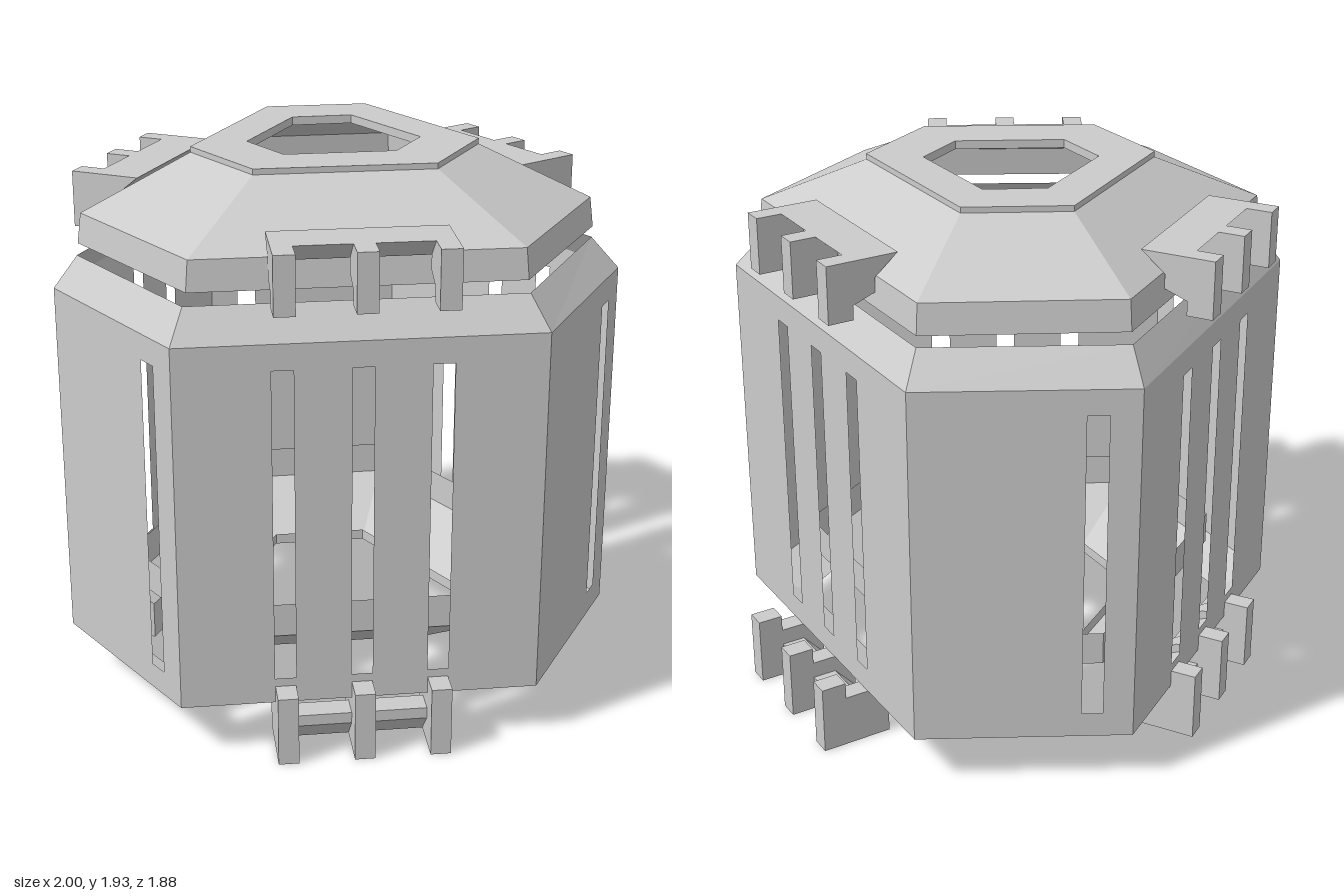
import * as THREE from 'three';

const MAT = new THREE.MeshStandardMaterial({ color: 0xcccccc, flatShading: true, side: THREE.DoubleSide });

// Hexagon outlines as [x, z], running front -> right -> back -> left
const WALL = [[-0.34, 0.94], [0.40, 0.94], [1, -0.12], [0.64, -0.765], [-0.64, -0.765], [-1, -0.12]];
const NECK = [[-0.31, 0.86], [0.355, 0.86], [0.905, -0.11], [0.575, -0.69], [-0.575, -0.69], [-0.905, -0.1]];
const FOOT = [[-0.28, 0.77], [0.32, 0.77], [0.82, -0.1], [0.52, -0.6], [-0.52, -0.6], [-0.81, -0.09]];
const LID = [[-0.31, 0.84], [0.345, 0.83], [0.88, -0.11], [0.57, -0.68], [-0.57, -0.68], [-0.885, -0.1]];
const LID_TOP = [[-0.2, 0.465], [0.17, 0.46], [0.47, -0.075], [0.295, -0.4], [-0.355, -0.4], [-0.53, -0.08]];
const LID_HOLE = [[-0.145, 0.27], [0.075, 0.27], [0.26, -0.065], [0.16, -0.25], [-0.24, -0.25], [-0.34, -0.06]];

const scaled = (hex, s) => hex.map(([x, z]) => [x * s, z * s]);

function mesh(name, geometry) {
  const m = new THREE.Mesh(geometry, MAT);
  m.name = name;
  return m;
}

// Flat-sided skin through a stack of [hexagon, height] rings, listed bottom to top on the outside
function loft(name, rings) {
  const pos = [];
  for (let r = 0; r + 1 < rings.length; r++) {
    const [lo, y0] = rings[r], [hi, y1] = rings[r + 1];
    for (let i = 0; i < 6; i++) {
      const j = (i + 1) % 6;
      const a = [lo[i][0], y0, lo[i][1]], b = [lo[j][0], y0, lo[j][1]];
      const c = [hi[j][0], y1, hi[j][1]], d = [hi[i][0], y1, hi[i][1]];
      pos.push(...a, ...b, ...c, ...a, ...c, ...d);
    }
  }
  const g = new THREE.BufferGeometry();
  g.setAttribute('position', new THREE.Float32BufferAttribute(pos, 3));
  g.computeVertexNormals();
  return mesh(name, g);
}

// Profile of (outward, height) points swept along a wall, centred on u
function sweep(name, profile, u, width) {
  const shape = new THREE.Shape(profile.map(([o, y]) => new THREE.Vector2(o, y)));
  const g = new THREE.ExtrudeGeometry(shape, { depth: width, bevelEnabled: false });
  g.translate(0, 0, -width / 2);
  g.rotateY(-Math.PI / 2);
  g.translate(u, 0, 0);
  return mesh(name, g);
}

// Upright wall panel with tall slots
function panel(width, slots) {
  const rect = (C, x0, x1, y0, y1) => new C([[x0, y0], [x1, y0], [x1, y1], [x0, y1]]
    .map(([x, y]) => new THREE.Vector2(x, y)));
  const shape = rect(THREE.Shape, -width / 2, width / 2, 0.19, 1.48);
  for (const u of slots) shape.holes.push(rect(THREE.Path, u - 0.036, u + 0.036, 0.28, 1.39));
  return mesh('wallPanel', new THREE.ShapeGeometry(shape));
}

const UPPER_CLAW = [[-0.165, 1.8], [-0.08, 1.73], [-0.08, 1.68], [0, 1.65], [0, 1.6], [0.09, 1.6], [0.09, 1.8]];
const UPPER_WEB = [[-0.165, 1.8], [-0.08, 1.73], [0, 1.8]];
const LOWER_CLAW = [[-0.08, 0], [0.175, 0], [0.175, 0.25], [0.085, 0.25], [0.085, 0.19], [0, 0.19], [-0.08, 0.14]];
const LOWER_WEB = [[-0.08, 0], [0, 0], [0.085, 0.09], [0.085, 0.13], [0, 0.13], [-0.08, 0.04]];

export function createModel() {
  const model = new THREE.Group();
  model.name = 'slottedHexHousing';

  // Bevels closing the body above and below the walls
  model.add(loft('upperBevel', [[WALL, 1.48], [NECK, 1.59]]));
  model.add(loft('lowerBevel', [[FOOT, 0.13], [WALL, 0.19]]));

  // Walls: short ones have one slot, long ones three slots and two sets of claws
  const stations = [-0.255, 0.005, 0.265];
  WALL.forEach((a, i) => {
    const b = WALL[(i + 1) % 6];
    const dx = b[0] - a[0], dz = b[1] - a[1];
    const side = new THREE.Group();
    side.name = i % 2 ? 'longSide' : 'shortSide';
    side.position.set((a[0] + b[0]) / 2, 0, (a[1] + b[1]) / 2);
    side.rotation.y = Math.atan2(-dz, dx);
    side.add(panel(Math.hypot(dx, dz), i % 2 ? stations : [0.23]));
    if (i % 2) {
      const shift = i === 3 ? 0 : -0.085; // only the back lower claws stand further out
      const moved = (profile) => profile.map(([o, y]) => [o + shift, y]);
      for (const u of stations) {
        side.add(sweep('upperClaw', UPPER_CLAW, u, 0.07));
        side.add(sweep('lowerClaw', moved(LOWER_CLAW), u, 0.07));
      }
      for (const u of [-0.125, 0.135]) {
        side.add(sweep('upperWeb', UPPER_WEB, u, 0.19));
        side.add(sweep('lowerWeb', moved(LOWER_WEB), u, 0.19));
      }
    }
    model.add(side);
  });

  // Sloped lid with a hexagonal opening
  model.add(loft('lid', [
    [scaled(LID, 1.015), 1.63], [LID, 1.735], [LID_TOP, 1.91], [LID_TOP, 1.93], [LID_HOLE, 1.93], [LID_HOLE, 1.9],
  ]));

  // Open tray inside the bottom, an upturned smaller lid
  model.add(loft('innerTray', [
    [scaled(WALL, 0.47), 0.21], [scaled(WALL, 0.47), 0.17], [scaled(WALL, 0.77), 0.34], [scaled(WALL, 0.77), 0.46],
  ]));

  return model;
}
